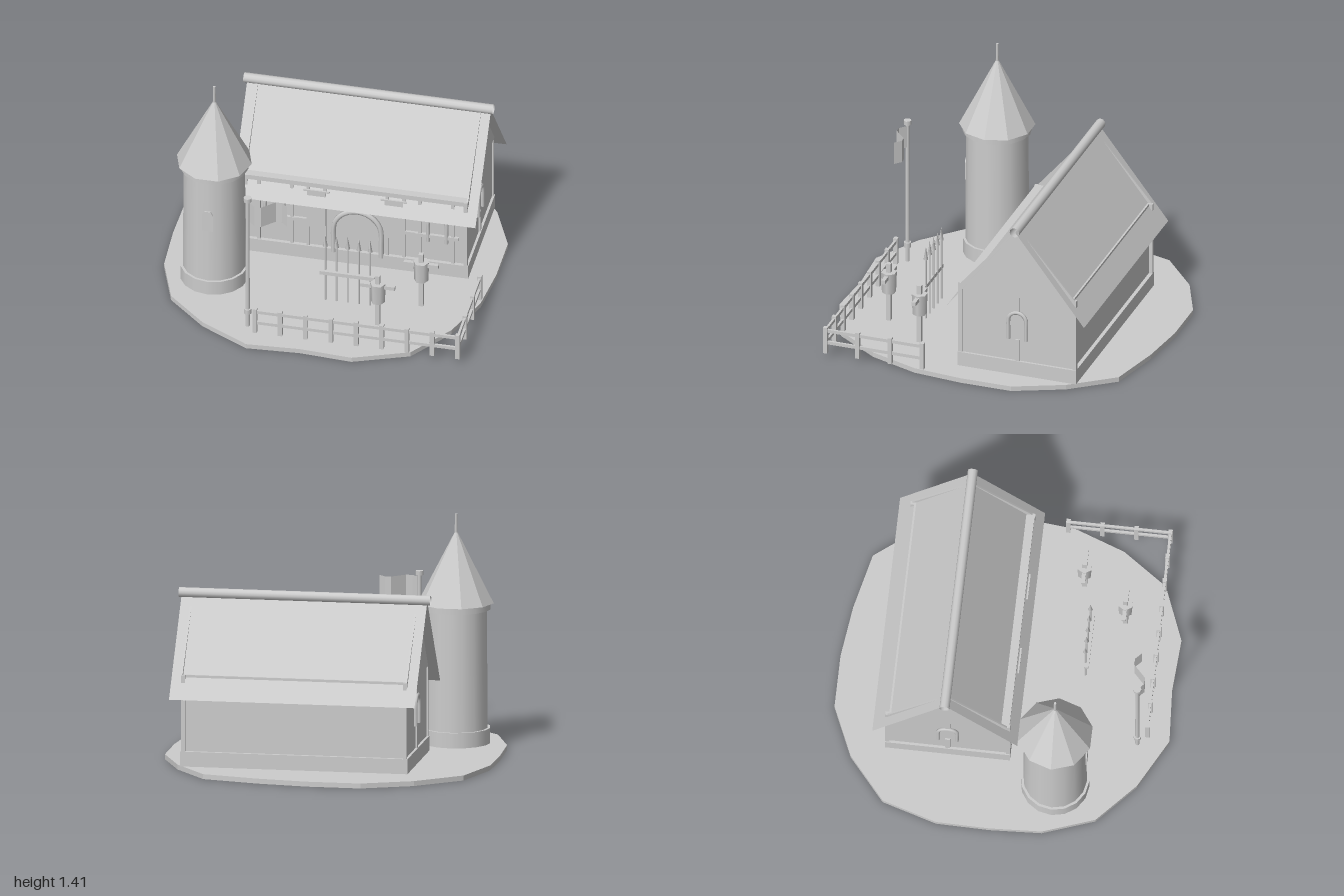
import * as THREE from 'three';

const stone = new THREE.MeshStandardMaterial({ color: 0xcccccc, side: THREE.DoubleSide });
stone.name = 'pale grey';

function add(parent, geo, name, x = 0, y = 0, z = 0) {
  const m = new THREE.Mesh(geo, stone);
  m.name = name;
  m.position.set(x, y, z);
  parent.add(m);
  return m;
}
const box = (p, name, w, h, d, x, y, z) => add(p, new THREE.BoxGeometry(w, h, d), name, x, y, z);
// Upright cylinder given by its bottom and top heights
const cyl = (p, name, rt, rb, y0, y1, x, z, n = 16) =>
  add(p, new THREE.CylinderGeometry(rt, rb, y1 - y0, n), name, x, (y0 + y1) / 2, z);
function group(parent, name) {
  const g = new THREE.Group();
  g.name = name;
  parent.add(g);
  return g;
}
const shape = pts => new THREE.Shape(pts.map(p => new THREE.Vector2(...p)));
const plate = (pts, depth) => new THREE.ExtrudeGeometry(shape(pts), { depth, bevelEnabled: false });
const flat = geo => { const g = geo.toNonIndexed(); g.computeVertexNormals(); return g; };

// Open arch of round moulding, standing in the xy plane
function archGeometry(r, y0, top, tube) {
  const pts = [new THREE.Vector3(-r, y0, 0), new THREE.Vector3(-r, (y0 + top - r) / 2, 0)];
  for (let i = 0; i <= 8; i++) {
    const a = Math.PI * (1 - i / 8);
    pts.push(new THREE.Vector3(r * Math.cos(a), top - r + r * Math.sin(a), 0));
  }
  pts.push(new THREE.Vector3(r, (y0 + top - r) / 2, 0), new THREE.Vector3(r, y0, 0));
  return new THREE.TubeGeometry(new THREE.CatmullRomCurve3(pts), 28, tube, 6);
}

function buildHouse(root) {
  const house = group(root, 'house');
  const cx = 0.14, cz = -0.3, W = 1.34, D = 0.7;
  box(house, 'plinth', W + 0.03, 0.09, D + 0.045, cx, 0.075, cz);
  box(house, 'walls', W, 0.55, D, cx, 0.305, cz);

  for (const s of [-1, 1]) {
    const x = cx + s * W / 2;
    // Gable end: triangle, frame and arched window
    const gable = add(house, plate([[-0.36, 0.58], [0.36, 0.58], [0, 1.005]], 0.01), 'gable', x + s * 0.002, 0, cz - 0.005);
    gable.rotation.y = s * Math.PI / 2;
    const fx = x + s * 0.003;
    box(house, 'gableBeam', 0.018, 0.035, D + 0.03, fx, 0.5625, cz);
    box(house, 'gablePostTop', 0.014, 0.12, 0.03, fx, 0.49, cz);
    box(house, 'gablePostLow', 0.014, 0.14, 0.03, fx, 0.19, cz);
    const arch = add(house, archGeometry(0.056, 0.26, 0.44, 0.012), 'gableArch', fx + s * 0.005, 0, cz);
    arch.rotation.y = Math.PI / 2;
    for (const t of [-1, 1])
      box(house, 'cornerPost', 0.022, 0.55, 0.025, cx + s * 0.668, 0.305, cz + t * 0.36);

    // Front timbers, window and banner, mirrored about the doorway
    for (const o of [0.19, 0.29, 0.39, 0.59])
      box(house, 'frontPost', 0.02, 0.44, 0.02, cx + s * o, 0.34, 0.055);
    box(house, 'frontRail', 0.2, 0.022, 0.02, cx + s * 0.29, 0.3, 0.055);
    box(house, 'windowSill', 0.26, 0.022, 0.024, cx + s * 0.495, 0.3, 0.057);
    add(house, archGeometry(0.056, 0.26, 0.44, 0.012), 'windowArch', cx + s * 0.495, 0, 0.062);
    add(house, plate([[-0.056, 0.53], [-0.056, 0.285], [0, 0.235], [0.056, 0.285], [0.056, 0.53]], 0.006),
      'banner', cx + s * 0.235, 0, 0.076);
    box(house, 'bannerRod', 0.16, 0.01, 0.01, cx + s * 0.235, 0.534, 0.08);
  }
  box(house, 'frontBeam', W, 0.03, 0.02, cx, 0.565, 0.058);
  box(house, 'backBeam', W, 0.02, 0.015, cx, 0.51, cz - 0.352);
  add(house, archGeometry(0.145, 0.1, 0.41, 0.016), 'doorArch', cx + 0.01, 0, 0.065);

  // Thin roof slopes and the open ridge roll
  const rise = 0.56, run = 0.433;
  for (const s of [-1, 1]) {
    const slope = add(house, new THREE.PlaneGeometry(1.48, Math.hypot(rise, run)), 'roofSlope',
      cx, 1.005 - rise / 2, -0.31 + s * run / 2);
    slope.rotation.order = 'YXZ';
    slope.rotation.set(-Math.atan2(run, rise), s > 0 ? 0 : Math.PI, 0);
  }
  const ridge = add(house, new THREE.CylinderGeometry(0.03, 0.03, 1.515, 12, 1, true), 'ridge', 0.1375, 1.012, -0.31);
  ridge.rotation.z = Math.PI / 2;
}

function buildTower(root) {
  const tower = group(root, 'tower');
  const x = -0.655, z = 0.355;
  cyl(tower, 'towerBase', 0.205, 0.205, 0.03, 0.122, x, z);
  cyl(tower, 'towerWall', 0.185, 0.19, 0.1, 0.85, x, z);
  cyl(tower, 'towerCollar', 0.207, 0.207, 0.838, 0.876, x, z);
  const roof = add(tower, flat(new THREE.ConeGeometry(0.227, 0.44, 10)), 'towerRoof', x, 1.096, z);
  roof.rotation.y = Math.PI / 2;
  cyl(tower, 'finial', 0.008, 0.01, 1.29, 1.41, x, z, 6);
  add(tower, plate([[-0.033, 0.485], [0.033, 0.485], [0.033, 0.6], [0.018, 0.625], [-0.018, 0.625], [-0.033, 0.6]], 0.009),
    'towerWindow', x, 0, z + 0.184);
}

function buildFlag(root) {
  const flag = group(root, 'flag');
  const x = -0.352, z = 0.812;
  cyl(flag, 'pole', 0.011, 0.014, 0.03, 0.95, x, z, 8);
  cyl(flag, 'poleCollar', 0.023, 0.023, 0.122, 0.155, x, z, 8);
  cyl(flag, 'poleCap', 0.024, 0.024, 0.94, 0.967, x, z, 8);
  // Waving cloth
  const cloth = new THREE.PlaneGeometry(0.228, 0.142, 6, 1);
  const p = cloth.attributes.position;
  for (let i = 0; i < p.count; i++)
    p.setZ(i, 0.042 * Math.sin((p.getX(i) / 0.228 + 0.5) * Math.PI * 2));
  add(flag, flat(cloth), 'cloth', -0.226, 0.861, z);
}

function buildRack(root) {
  const rack = group(root, 'spearRack');
  box(rack, 'rackRail', 0.335, 0.024, 0.026, 0.178, 0.237, 0.467);
  for (let i = 0; i < 5; i++) {
    const x = 0.042 + i * 0.068;
    cyl(rack, 'spearShaft', 0.006, 0.006, 0.03, 0.44, x, 0.457, 6);
    cyl(rack, 'spearTip', 0, 0.015, 0.42, 0.507, x, 0.457, 4);
  }
}

function buildDummy(root, x, z) {
  const d = group(root, 'trainingDummy');
  box(d, 'dummyPost', 0.028, 0.375, 0.028, x, 0.2175, z);
  const body = cyl(d, 'dummyBody', 0.048, 0.043, 0.215, 0.348, x, z, 6);
  body.rotation.y = Math.PI / 2;
  box(d, 'dummyArms', 0.21, 0.024, 0.024, x, 0.327, z);
}

function buildFence(root) {
  const fence = group(root, 'fence');
  const post = (x, z) => box(fence, 'fencePost', 0.026, 0.17, 0.026, x, 0.115, z);
  for (let i = 0; i < 9; i++) post(-0.296 + i * 0.154, 0.865);
  for (let i = 1; i < 4; i++) post(0.936, 0.865 - i * 0.203);
  for (const y of [0.1, 0.178]) {
    box(fence, 'frontFenceRail', 1.232, 0.02, 0.014, 0.32, y, 0.865);
    box(fence, 'sideFenceRail', 0.014, 0.02, 0.609, 0.936, y, 0.56);
  }
}

export function createModel() {
  const root = new THREE.Group();
  root.name = 'trainingYard';
  // Irregular ground slab
  const outline = [[-0.32, -1], [0, -1], [0.31, -0.96], [0.65, -0.88], [0.85, -0.62], [0.98, -0.32], [0.98, 0],
    [0.95, 0.3], [0.84, 0.6], [0.65, 0.87], [0.32, 1], [0, 0.98], [-0.32, 1], [-0.62, 0.84], [-0.86, 0.62],
    [-0.97, 0.31], [-0.985, 0], [-0.98, -0.32], [-0.88, -0.65], [-0.62, -0.87]];
  const slab = add(root, plate(outline, 0.03), 'ground', 0, 0.03, 0);
  slab.rotation.x = Math.PI / 2;
  buildHouse(root);
  buildTower(root);
  buildFlag(root);
  buildRack(root);
  buildDummy(root, 0.61, 0.39);
  buildDummy(root, 0.405, 0.657);
  buildFence(root);
  return root;
}
